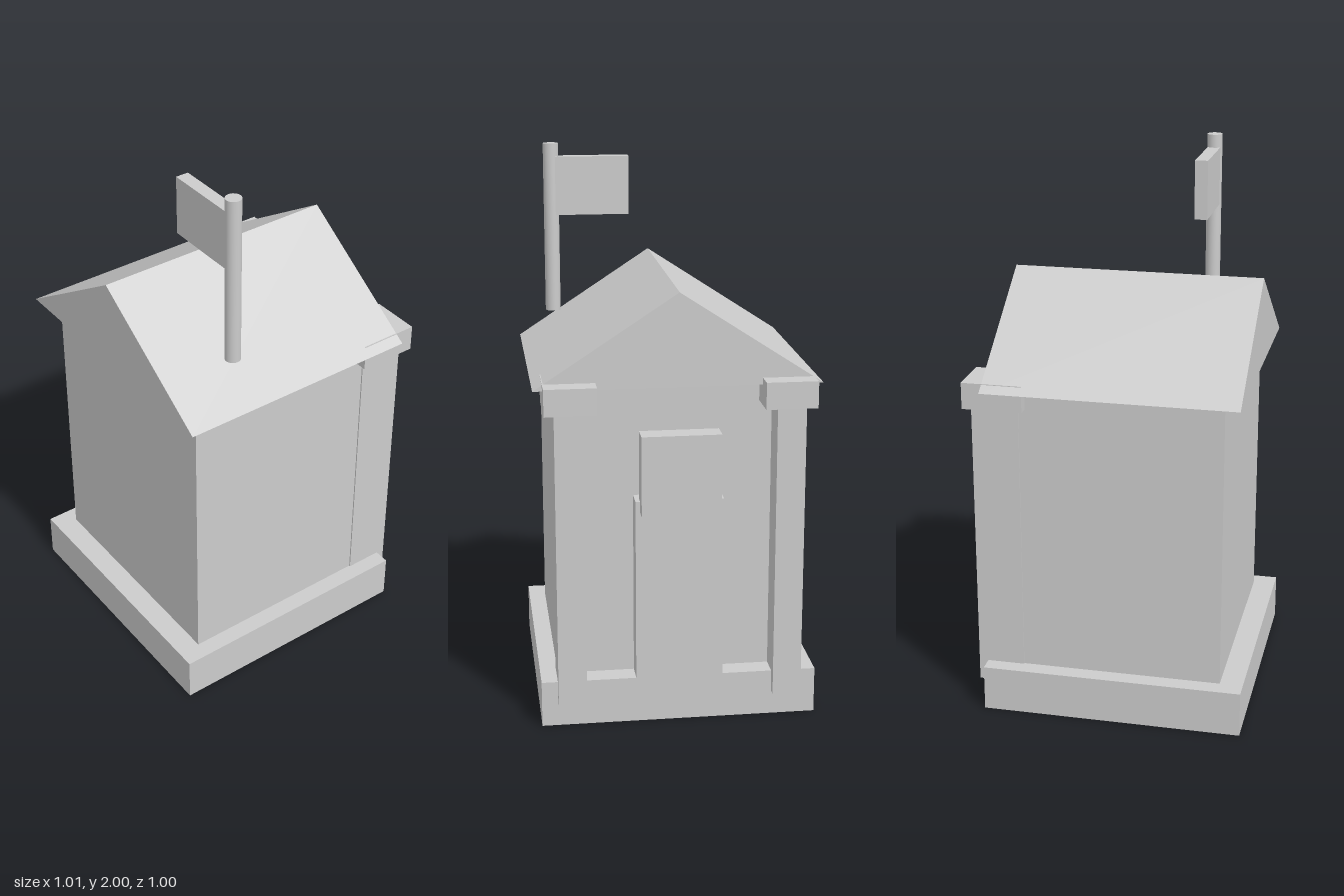
import * as THREE from 'three';

export function createModel() {
  const model = new THREE.Group();
  const material = new THREE.MeshStandardMaterial({ color: 0xcccccc });

  function add(name, geometry) {
    const mesh = new THREE.Mesh(geometry, material);
    mesh.name = name;
    model.add(mesh);
    return mesh;
  }

  // Box given by its limits on each axis
  function box(name, [x0, x1], [y0, y1], [z0, z1]) {
    const mesh = add(name, new THREE.BoxGeometry(x1 - x0, y1 - y0, z1 - z0));
    mesh.position.set((x0 + x1) / 2, (y0 + y1) / 2, (z0 + z1) / 2);
    return mesh;
  }

  // Plinth and main block
  box('base', [-0.495, 0.495], [0, 0.167], [-0.447, 0.502]);
  box('body', [-0.432, 0.432], [0.167, 1.232], [-0.368, 0.418]);

  // Gabled roof, ridge running front to back
  const gable = new THREE.Shape();
  gable.moveTo(-0.505, 1.232);
  gable.lineTo(0.505, 1.232);
  gable.lineTo(0, 1.562);
  gable.closePath();
  const roof = add('roof', new THREE.ExtrudeGeometry(gable, { depth: 0.911, bevelEnabled: false }));
  roof.position.z = -0.43;

  // Door and the panel hung above it, on the back wall
  box('door', [-0.156, 0.156], [0.1, 0.83], [-0.447, -0.36]);
  box('panel', [-0.14, 0.14], [0.79, 1.077], [-0.497, -0.417]);

  // Columns with capitals at the back corners
  for (const [side, s] of [['left', 1], ['right', -1]]) {
    const span = (a, b) => (s > 0 ? [a, b] : [-b, -a]);
    box(side + 'Column', span(0.335, 0.437), [0.09, 1.165], [-0.48, -0.31]);
    box(side + 'Capital', span(0.29, 0.472), [1.16, 1.256], [-0.503, -0.287]);
  }

  // Flagpole and flag
  const pole = add('flagpole', new THREE.CylinderGeometry(0.028, 0.028, 0.62, 24));
  pole.position.set(0.388, 1.69, 0.233);
  box('flag', [0.103, 0.388], [1.738, 1.952], [0.209, 0.256]);

  return model;
}
